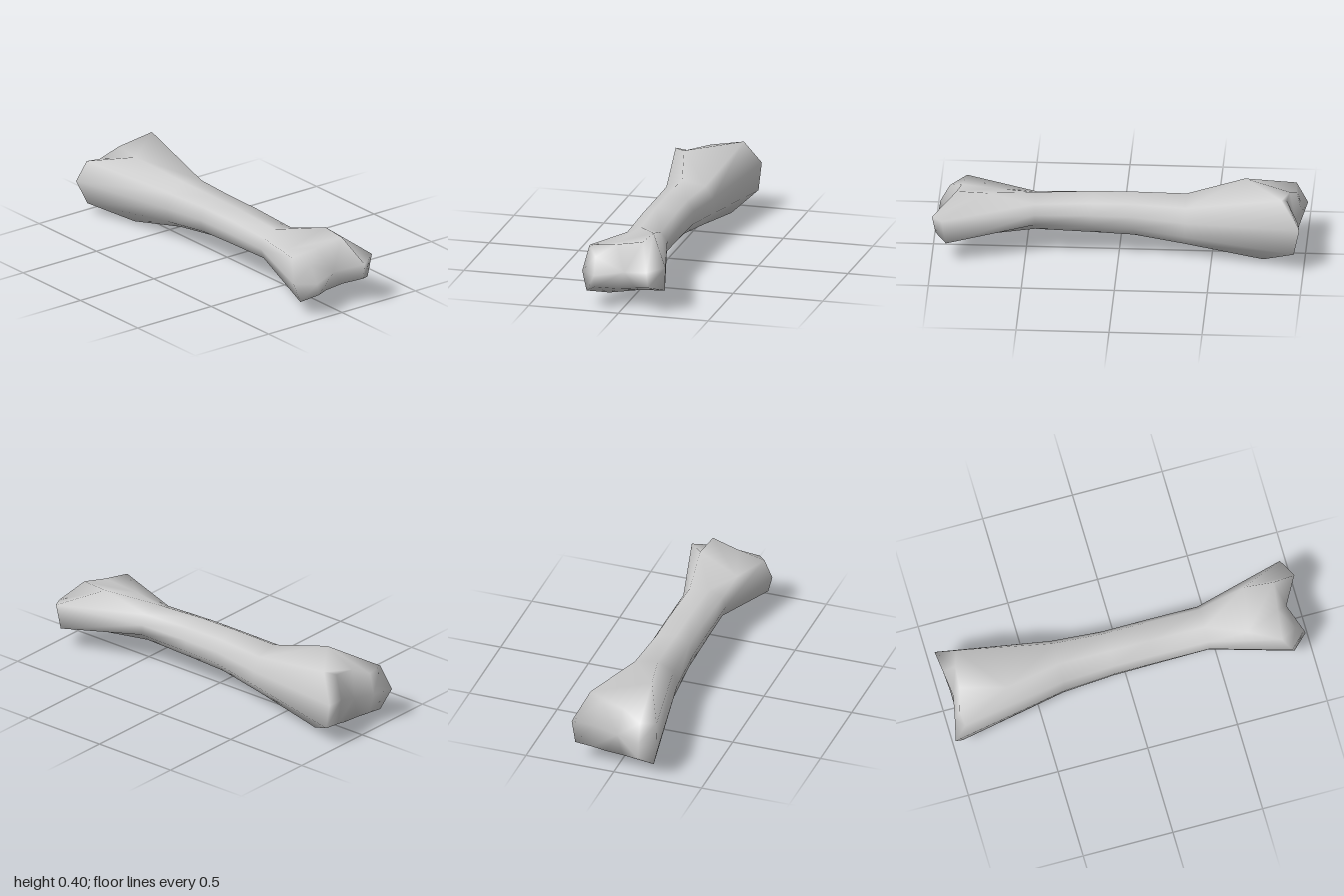
import * as THREE from 'three';

// Angles round the shaft, counter-clockwise seen from the front
const ANGLES = [12, 50, 100, 145, 180, 215, 255, 300, 342].map(THREE.MathUtils.degToRad);
const N = ANGLES.length;

// Slightly squared oval shaft section
const full = (v) => Math.sign(v) * Math.abs(v) ** 0.85;
const oval = (z, cx, cy, rx, ry) =>
  ANGLES.map((a) => [cx + rx * full(Math.cos(a)), cy + ry * full(Math.sin(a)), z]);

export function createModel() {
  const bone = new THREE.MeshStandardMaterial({ color: 0xcccccc });
  bone.name = 'bone grey';

  // Gently hollowed end face at the back
  const backFace = [
    [0.13, 0.245, -0.965], [0.1, 0.365, -0.905], [-0.02, 0.355, -0.915],
    [-0.13, 0.3, -0.945], [-0.13, 0.185, -0.972], [-0.12, 0.078, -0.95],
    [-0.03, 0.078, -0.942], [0.07, 0.085, -0.942], [0.14, 0.1, -0.948],
  ];
  // Wide rim of the back end
  const backRim = [
    [0.247, 0.257, -0.98], [0.175, 0.4, -0.88], [-0.1, 0.39, -0.67],
    [-0.222, 0.312, -0.94], [-0.248, 0.183, -1], [-0.21, 0.062, -0.95],
    [-0.075, 0, -0.71], [0.133, 0.025, -0.78], [0.237, 0.11, -0.95],
  ];
  // Rim of the front end, dipping on top
  const frontRim = [
    [0.247, 0.26, 0.945], [0.115, 0.372, 0.71], [-0.11, 0.287, 0.67],
    [-0.208, 0.315, 0.83], [-0.235, 0.183, 0.88], [-0.205, 0.08, 0.9],
    [-0.105, 0.046, 0.8], [0.07, 0.085, 0.83], [0.237, 0.124, 0.92],
  ];
  // Two rounded knuckles with a groove between them
  const knuckles = [
    [0.155, 0.24, 1], [0.1, 0.37, 0.87], [-0.05, 0.338, 0.85],
    [-0.15, 0.28, 0.92], [-0.145, 0.19, 0.97], [-0.14, 0.13, 0.98],
    [-0.03, 0.105, 0.9], [0.07, 0.12, 0.91], [0.16, 0.15, 0.98],
  ];
  const rings = [
    backFace,
    backRim,
    oval(-0.36, 0.008, 0.199, 0.142, 0.132),
    oval(-0.08, 0, 0.22, 0.122, 0.112),
    oval(0.14, 0, 0.224, 0.122, 0.106),
    oval(0.45, 0, 0.222, 0.122, 0.092),
    frontRim,
    knuckles,
  ];

  // Skin the rings and close both ends with a fan
  const positions = [...rings.flat(2), 0, 0.2, -0.945, 0.01, 0.205, 0.915];
  const backCentre = rings.length * N;
  const frontCentre = backCentre + 1;
  const last = (rings.length - 1) * N;
  const index = [];
  for (let j = 0; j < N; j++) {
    const k = (j + 1) % N;
    for (let r = 0; r < last; r += N) {
      index.push(r + j, r + k, r + N + j, r + k, r + N + k, r + N + j);
    }
    index.push(k, j, backCentre, last + j, last + k, frontCentre);
  }
  const geometry = new THREE.BufferGeometry();
  geometry.setAttribute('position', new THREE.Float32BufferAttribute(positions, 3));
  geometry.setIndex(index);
  geometry.computeVertexNormals();

  const mesh = new THREE.Mesh(geometry, bone);
  mesh.name = 'bone';
  const group = new THREE.Group();
  group.name = 'longBone';
  group.add(mesh);
  return group;
}
